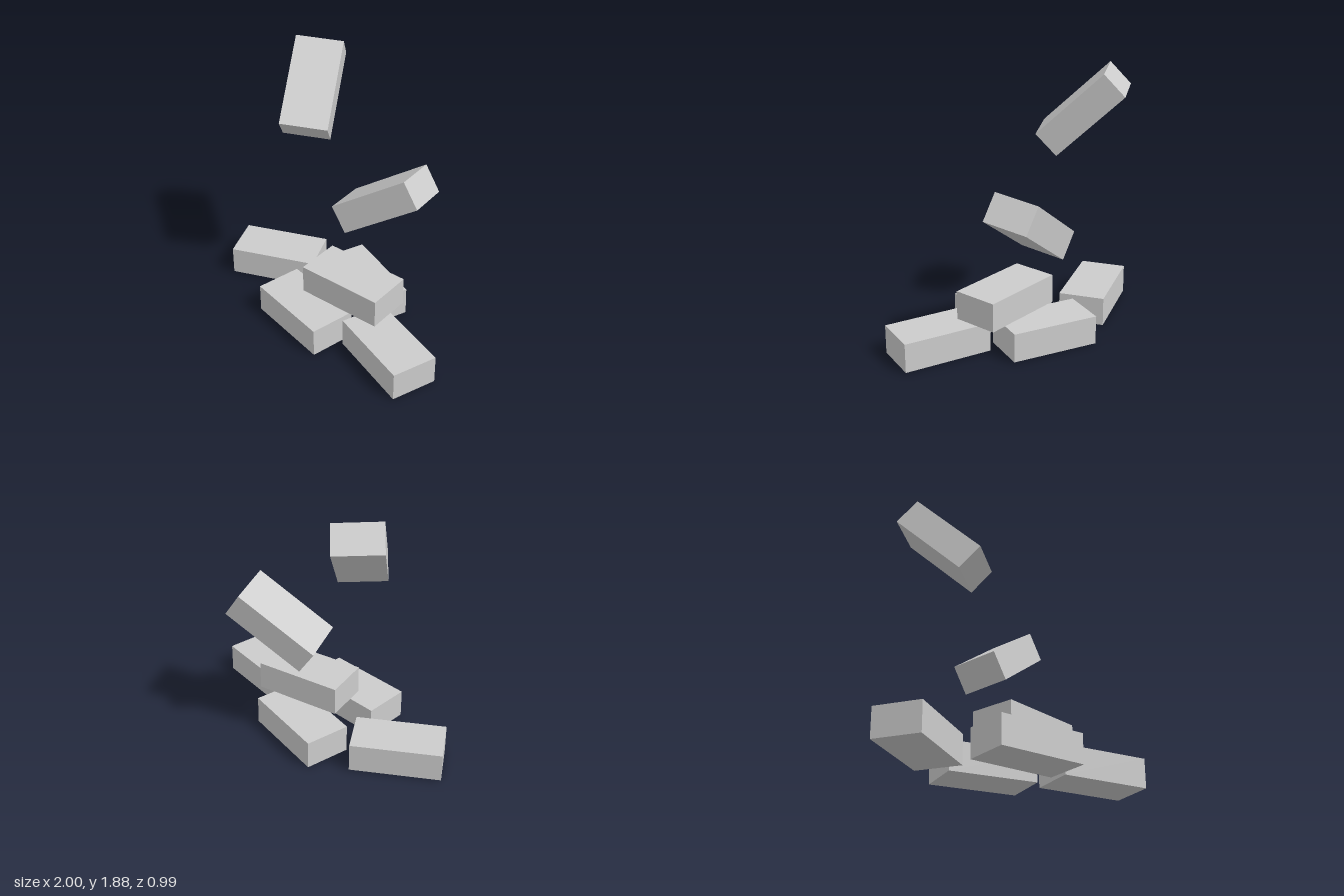
import * as THREE from 'three';

export function createModel() {
  const model = new THREE.Group();
  const grey = new THREE.MeshStandardMaterial({ color: 0xcccccc });
  grey.name = 'brick grey';
  const brick = new THREE.BoxGeometry(0.627, 0.205, 0.326);

  // Each brick is placed by its centre, its long direction and its up direction
  function addBrick(name, centre, along, up = [0, 1, 0]) {
    const x = new THREE.Vector3(...along).normalize();
    const z = new THREE.Vector3().crossVectors(x, new THREE.Vector3(...up)).normalize();
    const y = new THREE.Vector3().crossVectors(z, x);
    const mesh = new THREE.Mesh(brick, grey);
    mesh.name = name;
    mesh.quaternion.setFromRotationMatrix(new THREE.Matrix4().makeBasis(x, y, z));
    mesh.position.set(...centre);
    model.add(mesh);
  }

  // Bricks lying on the ground
  addBrick('frontBrick', [-0.012, 0.11, 0.335], [1, 0, 0]);
  addBrick('leftBrick', [0.667, 0.11, 0.153], [0.62, 0, 0.08]);
  addBrick('rightBrick', [-0.65, 0.11, 0.091], [0.825, 0, -0.565]);
  addBrick('backBrick', [0.015, 0.108, -0.18], [0.985, 0.012, 0.17]);

  // Brick resting on the pile
  addBrick('upperBrick', [0.173, 0.315, 0.055], [0.61, 0, -0.14]);

  // Falling bricks
  addBrick('lowerFallingBrick', [0.173, 0.915, -0.222], [0.475, 0.345, -0.22], [-0.11, 0.165, 0.022]);
  addBrick('upperFallingBrick', [-0.402, 1.582, -0.061], [-0.28, 0.43, -0.36], [0.1, 0.15, 0.1]);

  return model;
}
